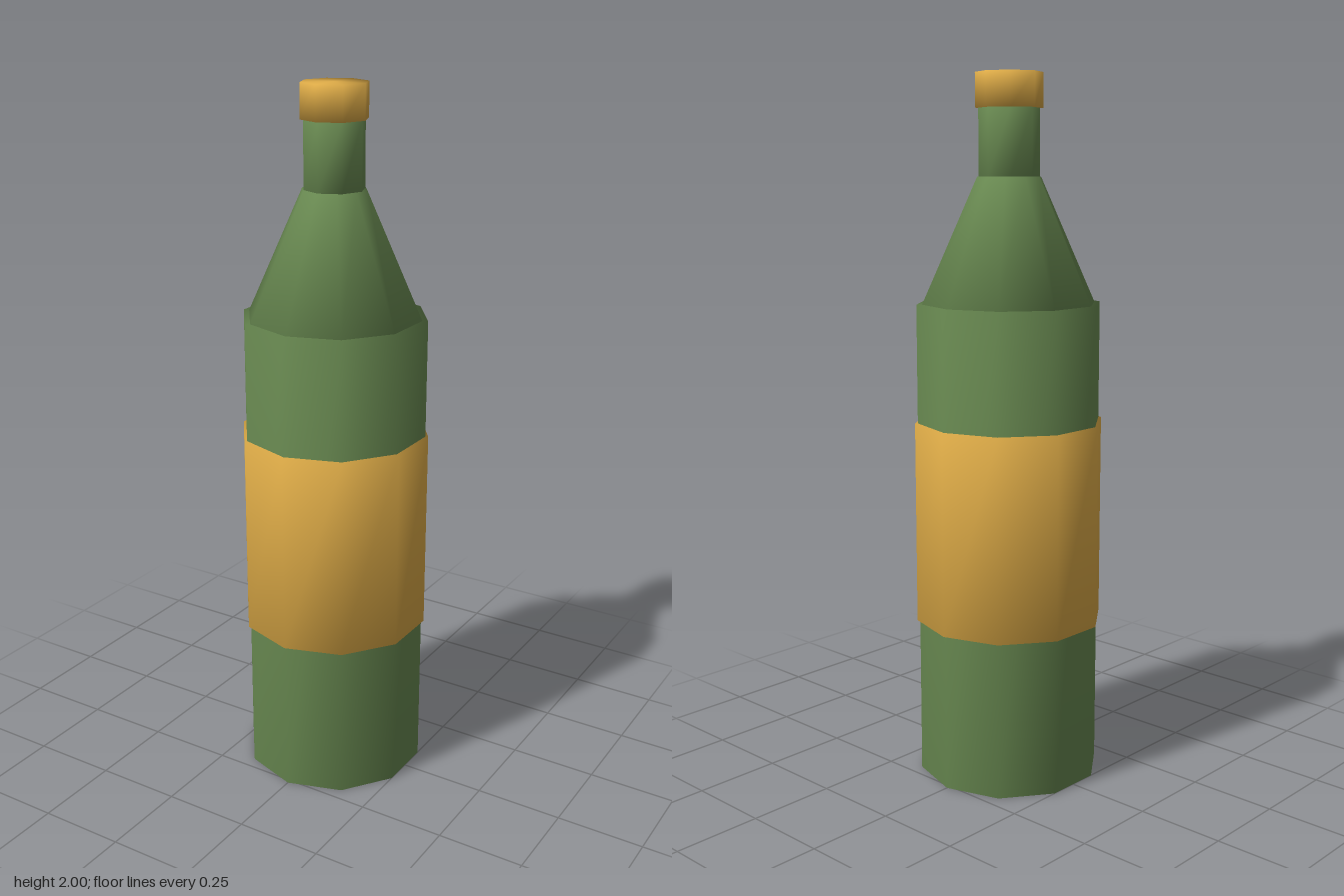
import * as THREE from 'three';
import { mergeVertices } from 'three/addons/utils/BufferGeometryUtils.js';

// Capped prism whose normals run smoothly across the rims
function smoothCylinder(rTop, rBottom, y0, y1, sides) {
  const g = new THREE.CylinderGeometry(rTop, rBottom, y1 - y0, sides);
  g.translate(0, (y0 + y1) / 2, 0);
  g.deleteAttribute('normal');
  g.deleteAttribute('uv');
  const merged = mergeVertices(g, 1e-4);
  merged.clearGroups();
  merged.computeVertexNormals();
  return merged;
}

export function createModel() {
  const green = new THREE.MeshStandardMaterial({ color: 0x6a8b52 });
  green.name = 'bottle green';
  const gold = new THREE.MeshStandardMaterial({ color: 0xe0ad48 });
  gold.name = 'label gold';

  const bottle = new THREE.Group();
  bottle.name = 'bottle';

  // name, top radius, bottom radius, bottom y, top y, sides, material
  const parts = [
    ['body', 0.263, 0.263, 0, 1.37, 10, green],
    ['label', 0.271, 0.271, 0.455, 1.035, 10, gold],
    ['shoulder', 0.09, 0.247, 1.37, 1.72, 10, green],
    ['neck', 0.085, 0.085, 1.72, 1.905, 8, green],
    ['cap', 0.094, 0.094, 1.905, 2, 8, gold],
  ];
  for (const [name, rTop, rBottom, y0, y1, sides, material] of parts) {
    const mesh = new THREE.Mesh(smoothCylinder(rTop, rBottom, y0, y1, sides), material);
    mesh.name = name;
    bottle.add(mesh);
  }
  return bottle;
}
